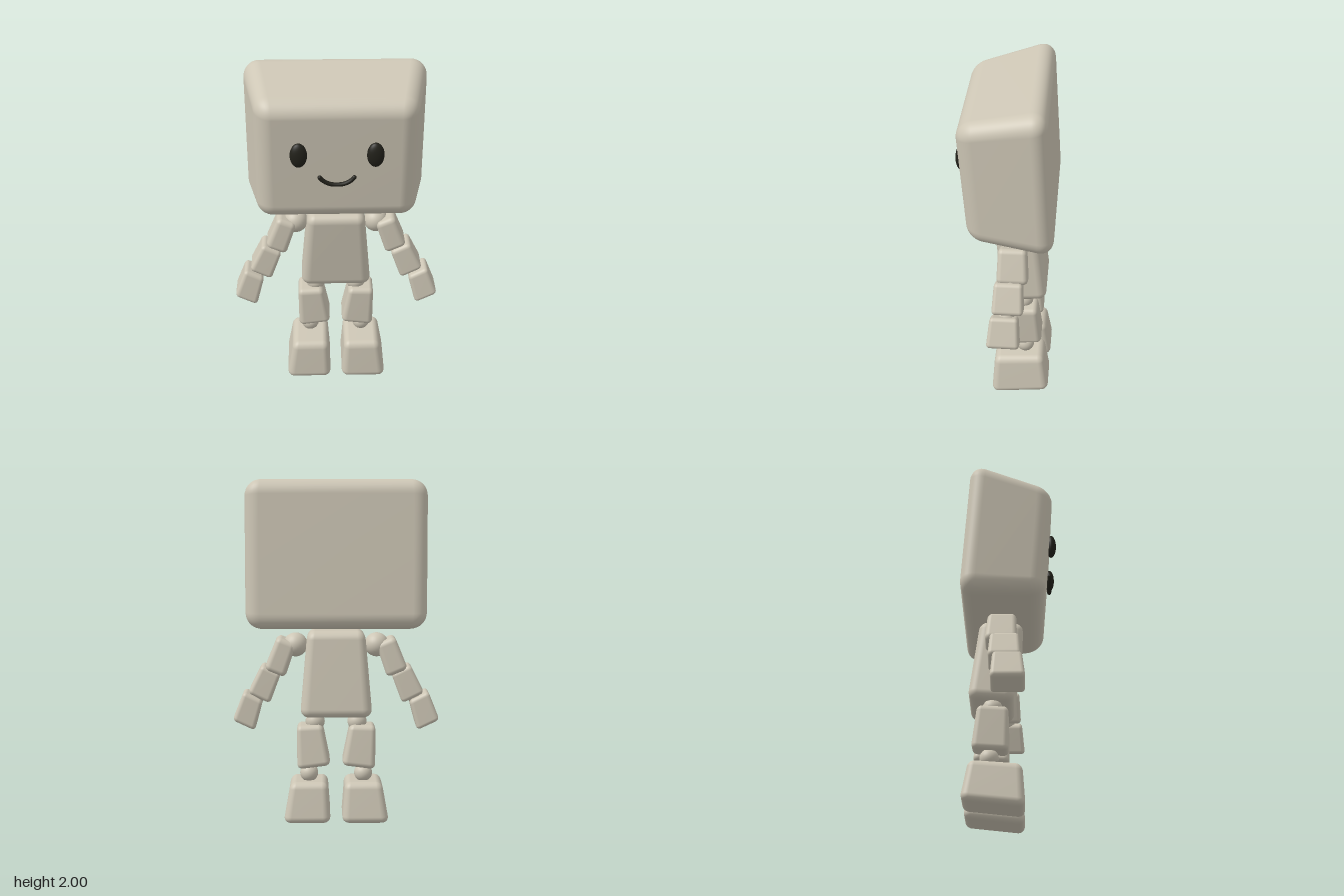
import * as THREE from 'three';
import { mergeVertices } from 'three/addons/utils/BufferGeometryUtils.js';
import { RoundedBoxGeometry } from 'three/addons/geometries/RoundedBoxGeometry.js';

const body = new THREE.MeshStandardMaterial({ color: 0xcdc6b5 });
body.name = 'warm grey';
const ink = new THREE.MeshStandardMaterial({ color: 0x22211a });
ink.name = 'ink black';

const lerp = THREE.MathUtils.lerp;

// Softly rounded block warped to eight corners.
// front, back: [x, y] at bottom left, bottom right, top right, top left (left = -x).
// z: [front bottom, front top, back bottom, back top].
function block(name, radius, front, back, z) {
  const [bl, br, tr, tl] = front.map((p, i) => [(p[0] + back[i][0]) / 2, (p[1] + back[i][1]) / 2]);
  const w = (br[0] - bl[0] + tr[0] - tl[0]) / 2;
  const h = (tl[1] - bl[1] + tr[1] - br[1]) / 2;
  const d = (z[0] + z[1] - z[2] - z[3]) / 2;
  let g = new RoundedBoxGeometry(w, h, d, 5, radius);
  g.deleteAttribute('normal');
  g.deleteAttribute('uv');
  g.clearGroups();
  g = mergeVertices(g, 1e-5);
  const pos = g.attributes.position;
  for (let i = 0; i < pos.count; i++) {
    const u = pos.getX(i) / w + 0.5;
    const v = pos.getY(i) / h + 0.5;
    const t = pos.getZ(i) / d + 0.5;
    const on = (q, k) => lerp(lerp(q[0][k], q[1][k], u), lerp(q[3][k], q[2][k], u), v);
    pos.setXYZ(i,
      lerp(on(back, 0), on(front, 0), t),
      lerp(on(back, 1), on(front, 1), t),
      lerp(lerp(z[2], z[3], v), lerp(z[0], z[1], v), t));
  }
  g.computeVertexNormals();
  const mesh = new THREE.Mesh(g, body);
  mesh.name = name;
  return mesh;
}

function ball(name, radius, x, y, z, material = body) {
  const mesh = new THREE.Mesh(new THREE.SphereGeometry(radius, 28, 18), material);
  mesh.name = name;
  mesh.position.set(x, y, z);
  return mesh;
}

// Quad symmetric about x = 0
const sym = (halfBottom, yBottom, halfTop, yTop) =>
  [[-halfBottom, yBottom], [halfBottom, yBottom], [halfTop, yTop], [-halfTop, yTop]];
const mirror = (q) => [1, 0, 3, 2].map((i) => [-q[i][0], q[i][1]]);
const raise = (q, bottom, top) => q.map(([x, y], i) => [x, y + (i < 2 ? bottom : top)]);

// Limb blocks for the +x side: name, radius, front quad, back rise [bottom, top], z
const limbs = [
  ['UpperArm', 0.028, [[0.295, 0.87], [0.415, 0.92], [0.338, 1.108], [0.23, 1.065]], [0, 0],
    [0.045, 0.04, -0.135, -0.12]],
  ['Forearm', 0.022, [[0.385, 0.715], [0.512, 0.777], [0.43, 0.94], [0.32, 0.888]], [0, 0],
    [0.065, 0.055, -0.115, -0.105]],
  ['Hand', 0.022, [[0.475, 0.55], [0.605, 0.612], [0.538, 0.78], [0.428, 0.725]], [0, 0],
    [0.088, 0.07, -0.1, -0.088]],
  ['Thigh', 0.03, [[0.032, 0.355], [0.225, 0.33], [0.228, 0.588], [0.08, 0.592]], [0.015, 0.01],
    [-0.004, -0.004, -0.21, -0.178]],
  ['Foot', 0.04, [[0.032, 0], [0.306, 0], [0.264, 0.25], [0.05, 0.25]], [0.038, 0.022],
    [0.086, 0.07, -0.262, -0.22]],
];

// Ball joints for the +x side: name, radius, x, y, z
const joints = [
  ['Shoulder', 0.07, 0.235, 1.055, -0.05],
  ['Elbow', 0.045, 0.37, 0.905, -0.035],
  ['Wrist', 0.045, 0.463, 0.745, -0.02],
  ['Hip', 0.056, 0.122, 0.61, -0.095],
  ['Knee', 0.053, 0.158, 0.305, -0.11],
];

export function createModel() {
  const model = new THREE.Group();
  model.name = 'boxFigure';

  // Head: wedge, wider at the back and sloping down to the face
  const face = [[-0.43, 1.197], [0.43, 1.197], [0.43, 1.89], [-0.43, 1.89]];
  const rear = [[-0.527, 1.16], [0.527, 1.16], [0.527, 2.022], [-0.527, 2.022]];
  model.add(block('head', 0.09, face, rear, [0.202, 0.257, -0.28, -0.222]));

  // Torso leaning slightly forward
  const chest = sym(0.208, 0.635, 0.165, 1.135);
  model.add(block('torso', 0.05, chest, raise(chest, 0.02, 0.013), [0.02, 0.083, -0.235, -0.17]));

  // Limbs, joints and eyes on both sides
  for (const [side, s] of [['left', 1], ['right', -1]]) {
    for (const [name, r, quad, [rb, rt], z] of limbs) {
      const q = s > 0 ? quad : mirror(quad);
      model.add(block(side + name, r, q, raise(q, rb, rt), z));
    }
    for (const [name, r, x, y, z] of joints) model.add(ball(side + name, r, s * x, y, z));
    const eye = ball(side + 'Eye', 1, s * 0.208, 1.608, 0.247, ink);
    eye.scale.set(0.047, 0.07, 0.029);
    model.add(eye);
  }

  // Smile: curved tube with closed ends
  const smile = new THREE.CatmullRomCurve3(
    [[-0.094, 1.472], [-0.075, 1.452], [-0.04, 1.434], [0, 1.429], [0.04, 1.434], [0.075, 1.452], [0.094, 1.472]]
      .map(([x, y]) => new THREE.Vector3(x, y, 0.24)));
  const mouth = new THREE.Mesh(new THREE.TubeGeometry(smile, 32, 0.012, 10), ink);
  mouth.name = 'mouth';
  model.add(mouth);
  for (const s of [-1, 1]) model.add(ball('mouthEnd', 0.012, s * 0.094, 1.472, 0.24, ink));

  return model;
}
